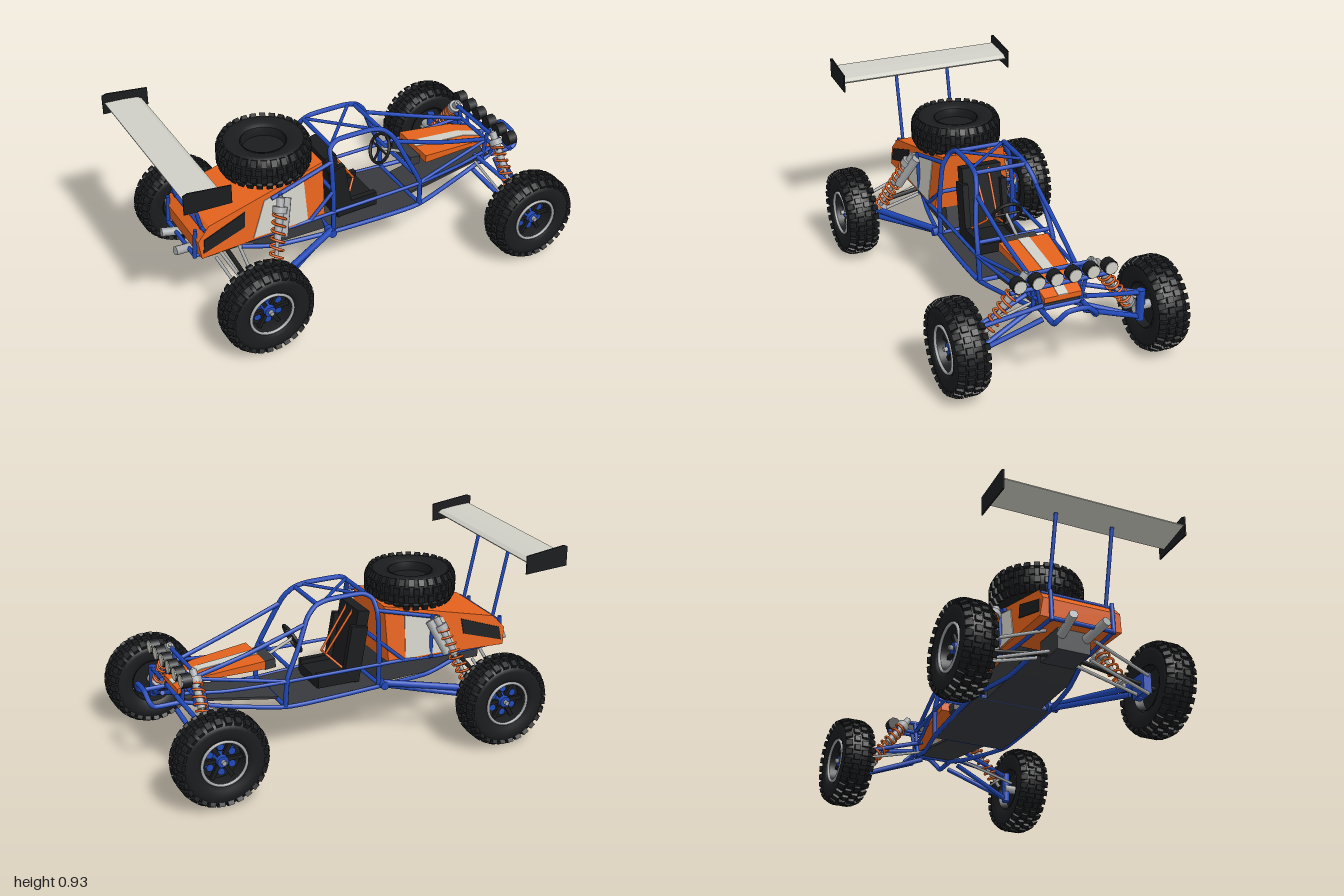
import * as THREE from 'three';
import { mergeGeometries } from 'three/addons/utils/BufferGeometryUtils.js';

const V = (p) => new THREE.Vector3(...p);
const mat = (color, side = THREE.FrontSide) => new THREE.MeshStandardMaterial({ color, side });
const blue = mat(0x2048b8), orange = mat(0xe4621c), black = mat(0x1b1c1e, THREE.DoubleSide);
const dark = mat(0x37393d), grey = mat(0xa4a6a8, THREE.DoubleSide), white = mat(0xd0cfc6);

export function createModel() {
  const root = new THREE.Group();
  root.name = 'buggy';

  const add = (name, geo, m, pos = [0, 0, 0], parent = root) => {
    const mesh = new THREE.Mesh(geo, m);
    mesh.name = name;
    mesh.position.set(...pos);
    parent.add(mesh);
    return mesh;
  };
  const box = (name, size, pos, m, rz = 0) => {
    const b = add(name, new THREE.BoxGeometry(...size), m, pos);
    b.rotation.z = rz;
    return b;
  };
  // straight round bar between two points
  const rod = (name, a, b, r, m) => {
    const A = V(a), B = V(b), d = B.clone().sub(A);
    const mesh = add(name, new THREE.CylinderGeometry(r, r, d.length(), 10), m, A.clone().add(B).multiplyScalar(0.5).toArray());
    mesh.quaternion.setFromUnitVectors(new THREE.Vector3(0, 1, 0), d.normalize());
    return mesh;
  };
  // bent tube through points
  const tube = (name, pts, r = 0.011, m = blue) =>
    add(name, new THREE.TubeGeometry(new THREE.CatmullRomCurve3(pts.map(V), false, 'catmullrom', 0.3), pts.length * 8, r, 8), m);
  const both = (fn) => [1, -1].forEach(fn);
  // side outline in x/y given thickness along z
  const slab = (pts, w) => {
    const s = new THREE.Shape(pts.map((p) => new THREE.Vector2(...p)));
    return new THREE.ExtrudeGeometry(s, { depth: w, bevelEnabled: false }).translate(0, 0, -w / 2);
  };
  // slab whose half width shrinks with height
  const taperedSlab = (pts, extra) => {
    const g = slab(pts, 2), p = g.attributes.position;
    for (let i = 0; i < p.count; i++) p.setZ(i, p.getZ(i) * (0.2 - (p.getY(i) - 0.36) * 0.13 + extra));
    g.computeVertexNormals();
    return g;
  };

  // wheels: axis along z, outer face towards +z
  const half = [[0.108, 0.058], [0.13, 0.07], [0.165, 0.073], [0.192, 0.066], [0.205, 0.045]];
  const profile = [...half.map(([r, y]) => [r, -y]), [0.209, 0], ...half.slice().reverse(), [0.104, 0], [0.108, -0.058]];
  const lathe = (pts, n = 40) => new THREE.LatheGeometry(pts.map((p) => new THREE.Vector2(...p)), n).rotateX(Math.PI / 2);
  const tyreGeo = lathe(profile);
  const knobs = [];
  const N = 28;
  for (let i = 0; i < N; i++) {
    for (const [z, off, r, tilt, w] of [[-0.058, 0, 0.2, -0.5, 0.034], [-0.02, 0.5, 0.21, 0, 0.03], [0.02, 0, 0.21, 0, 0.03], [0.058, 0.5, 0.2, 0.5, 0.034]]) {
      const g = new THREE.BoxGeometry(0.02, 0.028, w);
      g.rotateY(-tilt).translate(r, 0, z).rotateZ(((i + off) / N) * Math.PI * 2);
      knobs.push(g);
    }
  }
  const knobGeo = mergeGeometries(knobs);
  const wheel = (name, pos) => {
    const w = new THREE.Group();
    w.name = name;
    w.position.set(...pos);
    root.add(w);
    add('tyre', tyreGeo, black, [0, 0, 0], w);
    add('treadKnobs', knobGeo, black, [0, 0, 0], w);
    add('rimBarrel', lathe([[0.104, -0.06], [0.098, -0.03], [0.098, 0.03], [0.104, 0.06]]), black, [0, 0, 0], w);
    add('beadlockRing', new THREE.TorusGeometry(0.104, 0.007, 8, 40), grey, [0, 0, 0.062], w);
    add('rimDisc', new THREE.CylinderGeometry(0.1, 0.1, 0.012, 32).rotateX(Math.PI / 2), black, [0, 0, -0.012], w);
    for (let i = 0; i < 6; i++) {
      const a = (i / 6) * Math.PI * 2;
      add('rimSpoke', new THREE.BoxGeometry(0.075, 0.018, 0.014).translate(0.06, 0, 0.02).rotateZ(a), black, [0, 0, 0], w);
      add('rimLug', new THREE.CylinderGeometry(0.017, 0.017, 0.02, 12).rotateX(Math.PI / 2).translate(0.06, 0, 0.008).rotateZ(a + 0.52), blue, [0, 0, 0], w);
    }
    add('hub', new THREE.CylinderGeometry(0.026, 0.032, 0.05, 16).rotateX(Math.PI / 2), blue, [0, 0, 0.02], w);
    add('hubNut', new THREE.CylinderGeometry(0.012, 0.012, 0.02, 6).rotateX(Math.PI / 2), grey, [0, 0, 0.052], w);
    return w;
  };
  both((s) => {
    for (const [n, x] of [['frontWheel', 0.77], ['rearWheel', -0.655]]) {
      const w = wheel(n, [x, 0.225, s * 0.478]);
      if (s < 0) w.rotation.y = Math.PI;
    }
  });
  wheel('spareWheel', [-0.41, 0.702, 0]).rotation.x = Math.PI / 2;

  // engine cover with side panels
  add('engineCover', taperedSlab([[-0.2, 0.385], [-0.19, 0.66], [-0.78, 0.52], [-0.84, 0.455], [-0.83, 0.37], [-0.5, 0.38]], 0), orange);
  add('whiteSidePanel', taperedSlab([[-0.57, 0.39], [-0.29, 0.39], [-0.295, 0.61], [-0.5, 0.56]], 0.003), white);
  add('sideVent', taperedSlab([[-0.82, 0.395], [-0.61, 0.46], [-0.6, 0.535], [-0.81, 0.46]], 0.004), black);
  add('enginePan', slab([[-0.5, 0.385], [-0.6, 0.33], [-0.45, 0.27], [-0.17, 0.262], [-0.2, 0.385]], 0.28), dark);
  box('gearbox', [0.16, 0.1, 0.16], [-0.68, 0.32, 0], dark);

  // floor, nose and dash
  add('floorPan', slab([[-0.17, 0.262], [0.33, 0.248], [0.33, 0.258], [-0.17, 0.272]], 0.38), dark);
  const noseShape = (w0, w1, lift) => {
    const g = slab([[0.4, 0.435], [0.68, 0.425], [0.82, 0.375], [0.82, 0.4 + lift], [0.68, 0.447 + lift], [0.4, 0.475 + lift]], 2);
    const p = g.attributes.position;
    for (let i = 0; i < p.count; i++) p.setZ(i, p.getZ(i) * THREE.MathUtils.lerp(w0, w1, (p.getX(i) - 0.4) / 0.42));
    g.computeVertexNormals();
    return g;
  };
  add('nosePanel', noseShape(0.122, 0.09, 0), orange);
  add('noseStripe', noseShape(0.028, 0.024, 0.003), white);
  box('footwell', [0.46, 0.012, 0.2], [0.56, 0.305, 0], dark, 0.17);
  box('dash', [0.055, 0.045, 0.17], [0.362, 0.438, 0], dark, -0.1);

  // seat and harness
  box('seatBack', [0.06, 0.36, 0.2], [-0.085, 0.45, 0], black, 0.17);
  both((s) => {
    box('seatBolster', [0.085, 0.28, 0.03], [-0.065, 0.42, s * 0.1], black, 0.17);
    box('seatSide', [0.2, 0.07, 0.03], [0.03, 0.315, s * 0.1], black);
    rod('shoulderStrap', [-0.09, 0.62, s * 0.035], [0.05, 0.41, s * 0.025], 0.006, orange);
    rod('lapStrap', [0.05, 0.41, s * 0.025], [-0.02, 0.34, s * 0.09], 0.006, orange);
  });
  box('seatBase', [0.2, 0.05, 0.2], [0.03, 0.3, 0], black);

  // steering
  const sw = add('steeringWheel', new THREE.TorusGeometry(0.072, 0.008, 8, 28), black, [0.212, 0.51, 0]);
  sw.rotation.set(0, Math.PI / 2, 0);
  sw.rotation.order = 'ZYX';
  sw.rotation.z = -0.46;
  rod('steeringColumn', [0.212, 0.51, 0], [0.36, 0.44, 0], 0.008, grey);
  both((s) => rod('steeringSpoke', [0.212, 0.51, 0], [0.212, 0.51, s * 0.07], 0.006, black));
  rod('steeringSpoke', [0.212, 0.51, 0], [0.18, 0.446, 0], 0.006, black);

  // frame tubes, mirrored
  both((s) => {
    tube('rollCageSide', [[-0.15, 0.27, s * 0.19], [-0.15, 0.45, s * 0.192], [-0.15, 0.63, s * 0.175], [-0.14, 0.7, s * 0.14], [-0.09, 0.73, s * 0.125],
      [0.08, 0.728, s * 0.125], [0.15, 0.71, s * 0.13], [0.2, 0.66, s * 0.145], [0.26, 0.53, s * 0.175], [0.32, 0.4, s * 0.19], [0.33, 0.258, s * 0.185]], 0.012);
    tube('lowerRail', [[-0.6, 0.3, s * 0.12], [-0.43, 0.265, s * 0.15], [-0.16, 0.272, s * 0.195], [0.1, 0.262, s * 0.197], [0.33, 0.255, s * 0.185], [0.62, 0.29, s * 0.12], [0.83, 0.345, s * 0.09]]);
    tube('middleRail', [[-0.84, 0.36, s * 0.15], [-0.5, 0.36, s * 0.17], [-0.28, 0.385, s * 0.2], [-0.15, 0.385, s * 0.197], [0.33, 0.385, s * 0.192], [0.6, 0.37, s * 0.14], [0.8, 0.38, s * 0.1]], 0.009);
    tube('upperNoseRail', [[0.21, 0.635, s * 0.15], [0.5, 0.53, s * 0.135], [0.76, 0.45, s * 0.11]]);
    rod('noseBrace', [0.32, 0.385, s * 0.19], [0.74, 0.45, s * 0.12], 0.009, blue);
    rod('noseUpright', [0.74, 0.31, s * 0.105], [0.76, 0.5, s * 0.12], 0.01, blue);
    rod('noseUpright', [0.8, 0.34, s * 0.095], [0.8, 0.46, s * 0.12], 0.009, blue);
    rod('rearUpright', [-0.845, 0.35, s * 0.15], [-0.835, 0.5, s * 0.15], 0.01, blue);
    rod('rearBrace', [-0.15, 0.65, s * 0.17], [-0.47, 0.57, s * 0.19], 0.01, blue);
    rod('shockTower', [-0.43, 0.59, s * 0.2], [-0.43, 0.37, s * 0.19], 0.009, blue);
    rod('cageDiagonal', [-0.15, 0.5, s * 0.19], [-0.28, 0.385, s * 0.2], 0.009, blue);
    rod('roofDiagonal', [-0.13, 0.715, s * 0.13], [0.1, 0.725, -s * 0.12], 0.008, blue);
    rod('wingSupport', [-0.79, 0.45, s * 0.14], [-0.88, 0.86, s * 0.14], 0.009, blue);

    // rear suspension
    rod('trailingArm', [-0.17, 0.29, s * 0.205], [-0.6, 0.255, s * 0.4], 0.016, blue);
    rod('trailingArmBrace', [-0.19, 0.268, s * 0.19], [-0.56, 0.225, s * 0.39], 0.013, blue);
    rod('armPivot', [-0.17, 0.28, s * 0.17], [-0.17, 0.28, s * 0.225], 0.021, blue);
    box('rearHubCarrier', [0.1, 0.1, 0.04], [-0.64, 0.235, s * 0.405], blue);
    rod('driveShaft', [-0.66, 0.3, 0], [-0.655, 0.225, s * 0.46], 0.011, black);
    rod('upperLink', [-0.73, 0.36, s * 0.12], [-0.69, 0.27, s * 0.41], 0.008, grey);
    rod('lowerLink', [-0.72, 0.27, s * 0.1], [-0.69, 0.18, s * 0.41], 0.008, grey);
    rod('frontLink', [-0.6, 0.29, s * 0.1], [-0.63, 0.19, s * 0.41], 0.008, grey);

    // front suspension
    for (const x of [0.7, 0.83]) {
      rod('upperArm', [x, 0.375, s * 0.1], [0.775, 0.295, s * 0.41], 0.011, blue);
      rod('lowerArm', [x, 0.28 + (x - 0.7) * 0.2, s * 0.1], [0.775, 0.17, s * 0.41], 0.012, blue);
    }
    rod('steeringKnuckle', [0.775, 0.155, s * 0.412], [0.775, 0.31, s * 0.412], 0.02, blue);
    rod('tieRod', [0.71, 0.33, s * 0.08], [0.72, 0.24, s * 0.42], 0.007, grey);
    rod('frontSpindle', [0.77, 0.225, s * 0.4], [0.77, 0.225, s * 0.48], 0.022, grey);
  });

  // cross members
  for (const [x, y, w, r] of [[-0.13, 0.71, 0.13, 0.011], [0.14, 0.713, 0.13, 0.011], [0.3, 0.44, 0.18, 0.01], [-0.15, 0.5, 0.19, 0.01], [-0.16, 0.272, 0.195, 0.011],
    [0.33, 0.258, 0.185, 0.011], [0.76, 0.45, 0.22, 0.01], [0.76, 0.5, 0.15, 0.01], [0.81, 0.345, 0.1, 0.01], [-0.845, 0.36, 0.15, 0.01], [-0.8, 0.5, 0.18, 0.008]])
    rod('crossMember', [x, y, -w], [x, y, w], r, blue);
  tube('frontBumper', [[0.8, 0.34, 0.1], [0.93, 0.34, 0.1], [0.955, 0.365, 0.09], [0.962, 0.4, 0.05], [0.962, 0.405, 0], [0.962, 0.4, -0.05], [0.955, 0.365, -0.09], [0.93, 0.34, -0.1], [0.8, 0.34, -0.1]], 0.012);

  // coil-over shocks
  const shock = (name, a, b, turns, R) => {
    const A = V(a), d = V(b).sub(A), L = d.length(), g = new THREE.Group();
    g.name = name;
    g.position.copy(A);
    g.quaternion.setFromUnitVectors(new THREE.Vector3(0, 1, 0), d.normalize());
    root.add(g);
    const pts = Array.from({ length: turns * 10 + 1 }, (_, i) => {
      const t = (i / 10) * Math.PI * 2;
      return new THREE.Vector3(Math.cos(t) * R, L * (0.1 + 0.72 * (i / (turns * 10))), Math.sin(t) * R);
    });
    add('spring', new THREE.TubeGeometry(new THREE.CatmullRomCurve3(pts), turns * 14, 0.006, 6), orange, [0, 0, 0], g);
    add('shockShaft', new THREE.CylinderGeometry(0.009, 0.009, L, 10), grey, [0, L / 2, 0], g);
    add('shockBody', new THREE.CylinderGeometry(0.018, 0.018, L * 0.5, 14), grey, [0, L * 0.73, 0], g);
    add('springSeat', new THREE.CylinderGeometry(R + 0.006, R + 0.006, 0.012, 16), grey, [0, L * 0.09, 0], g);
    add('springCap', new THREE.CylinderGeometry(R + 0.004, R + 0.004, 0.03, 16), grey, [0, L * 0.84, 0], g);
  };
  both((s) => {
    shock('rearShock', [-0.56, 0.25, s * 0.375], [-0.435, 0.59, s * 0.215], 8, 0.03);
    rod('shockReservoir', [-0.51, 0.42, s * 0.29], [-0.45, 0.57, s * 0.215], 0.021, grey).position.x += 0.045;
    shock('frontShock', [0.77, 0.23, s * 0.37], [0.765, 0.52, s * 0.15], 8, 0.028);
    rod('exhaust', [-0.76, 0.34, s * 0.06], [-0.91, 0.365, s * 0.08], 0.021, grey);
  });

  // light bar
  rod('lightBar', [0.81, 0.455, -0.25], [0.81, 0.455, 0.25], 0.01, blue);
  for (let i = 0; i < 6; i++) {
    const z = (i - 2.5) * 0.087;
    rod('lampHousing', [0.8, 0.497, z], [0.845, 0.497, z], 0.034, black);
    rod('lampLens', [0.84, 0.497, z], [0.849, 0.497, z], 0.03, white);
    rod('lampBracket', [0.812, 0.455, z], [0.812, 0.48, z], 0.007, black);
  }

  // rear wing
  add('wing', slab([[-0.99, 0.888], [-0.9, 0.87], [-0.82, 0.855], [-0.81, 0.865], [-0.83, 0.878], [-0.9, 0.887], [-0.99, 0.893]], 0.89), white);
  both((s) => add('wingEndPlate', slab([[-1, 0.835], [-0.78, 0.823], [-0.78, 0.913], [-0.98, 0.938], [-1, 0.93]], 0.006), black, [0, 0, s * 0.448]));

  return root;
}
